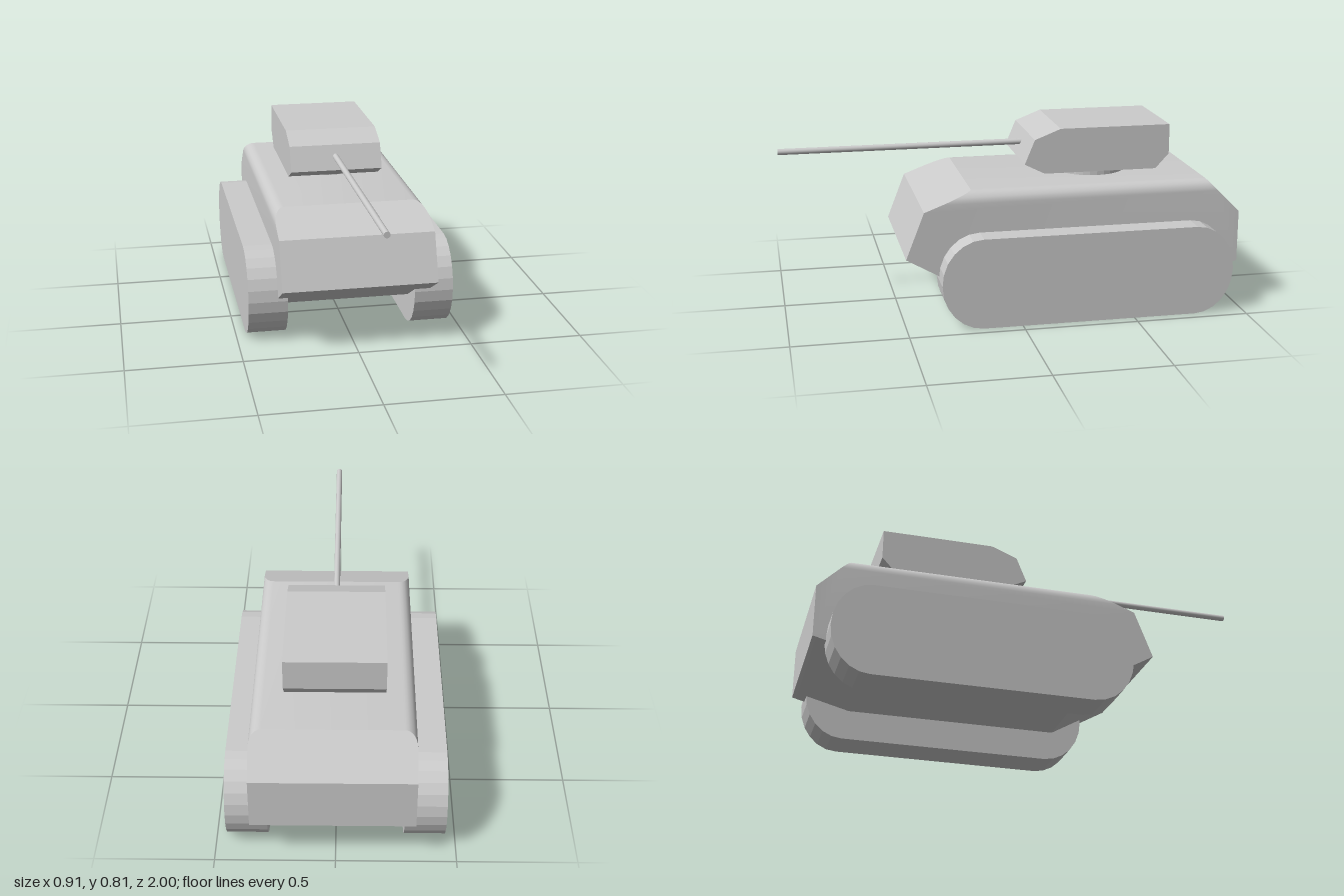
import * as THREE from 'three';
import { ConvexGeometry } from 'three/addons/geometries/ConvexGeometry.js';
import { toCreasedNormals } from 'three/addons/utils/BufferGeometryUtils.js';

const grey = new THREE.MeshStandardMaterial({ color: 0xcccccc });
const greyFlat = new THREE.MeshStandardMaterial({ color: 0xcccccc, flatShading: true });

function part(name, geometry, material = grey) {
  const mesh = new THREE.Mesh(geometry, material);
  mesh.name = name;
  return mesh;
}

// Extrudes a side profile drawn in (z, y) across the width from x0 to x1.
function sideExtrude(shape, x0, x1, curveSegments = 8) {
  return new THREE.ExtrudeGeometry(shape, { depth: x1 - x0, bevelEnabled: false, curveSegments })
    .rotateY(-Math.PI / 2)
    .translate(x1, 0, 0);
}

// Hull: sloped side profile whose long upper edges are rounded off.
function hullGeometry() {
  const left = 0.349, right = -0.327, top = 0.58, radius = 0.05, steps = 6;
  const lowerProfile = [[0.41, 0.5], [0.49, 0.295], [0.21, 0.135], [-0.75, 0.135], [-1, 0.2], [-1, 0.43]];
  const points = [];
  for (const [edge, inward] of [[left, -1], [right, 1]]) {
    for (const [z, y] of lowerProfile) points.push(new THREE.Vector3(edge, y, z));
    for (let i = 0; i <= steps; i++) {
      const a = (i / steps) * Math.PI / 2;
      const x = edge + inward * radius * (1 - Math.cos(a));
      const drop = radius * (1 - Math.sin(a));
      // the rounding runs out along the sloped front and rear plates
      points.push(new THREE.Vector3(x, top - drop, 0.2 + drop * (0.21 / 0.08)));
      points.push(new THREE.Vector3(x, top - drop, -0.85 - drop));
    }
  }
  return toCreasedNormals(new ConvexGeometry(points), 0.3);
}

// Track outline: a long loop with round ends.
function trackShape() {
  const shape = new THREE.Shape();
  shape.absellipse(0.17, 0.2, 0.18, 0.2, -Math.PI / 2, Math.PI / 2, false);
  shape.absellipse(-0.775, 0.2, 0.17, 0.2, Math.PI / 2, Math.PI * 1.5, false);
  shape.closePath();
  return shape;
}

export function createModel() {
  const model = new THREE.Group();
  model.name = 'tank';

  model.add(part('hull', hullGeometry()));

  // Tracks
  model.add(part('leftTrack', sideExtrude(trackShape(), 0.281, 0.453, 6)));
  model.add(part('rightTrack', sideExtrude(trackShape(), -0.455, -0.283, 6)));

  // Turret ring between hull and turret
  const ring = part('turretRing', new THREE.CylinderGeometry(0.164, 0.164, 0.06, 32), greyFlat);
  ring.position.set(0.006, 0.595, -0.395);
  model.add(ring);

  // Turret
  const turretProfile = [[-0.055, 0.655], [-0.1, 0.763], [-0.215, 0.808], [-0.71, 0.808],
    [-0.71, 0.675], [-0.65, 0.61], [-0.145, 0.61]];
  const turretShape = new THREE.Shape(turretProfile.map(([z, y]) => new THREE.Vector2(z, y)));
  model.add(part('turret', sideExtrude(turretShape, -0.203, 0.214)));

  // Gun barrel
  const barrel = part('gunBarrel', new THREE.CylinderGeometry(0.0135, 0.0135, 1.12, 16));
  barrel.rotation.x = Math.PI / 2;
  barrel.position.set(0.005, 0.712, 0.44);
  model.add(barrel);

  return model;
}
